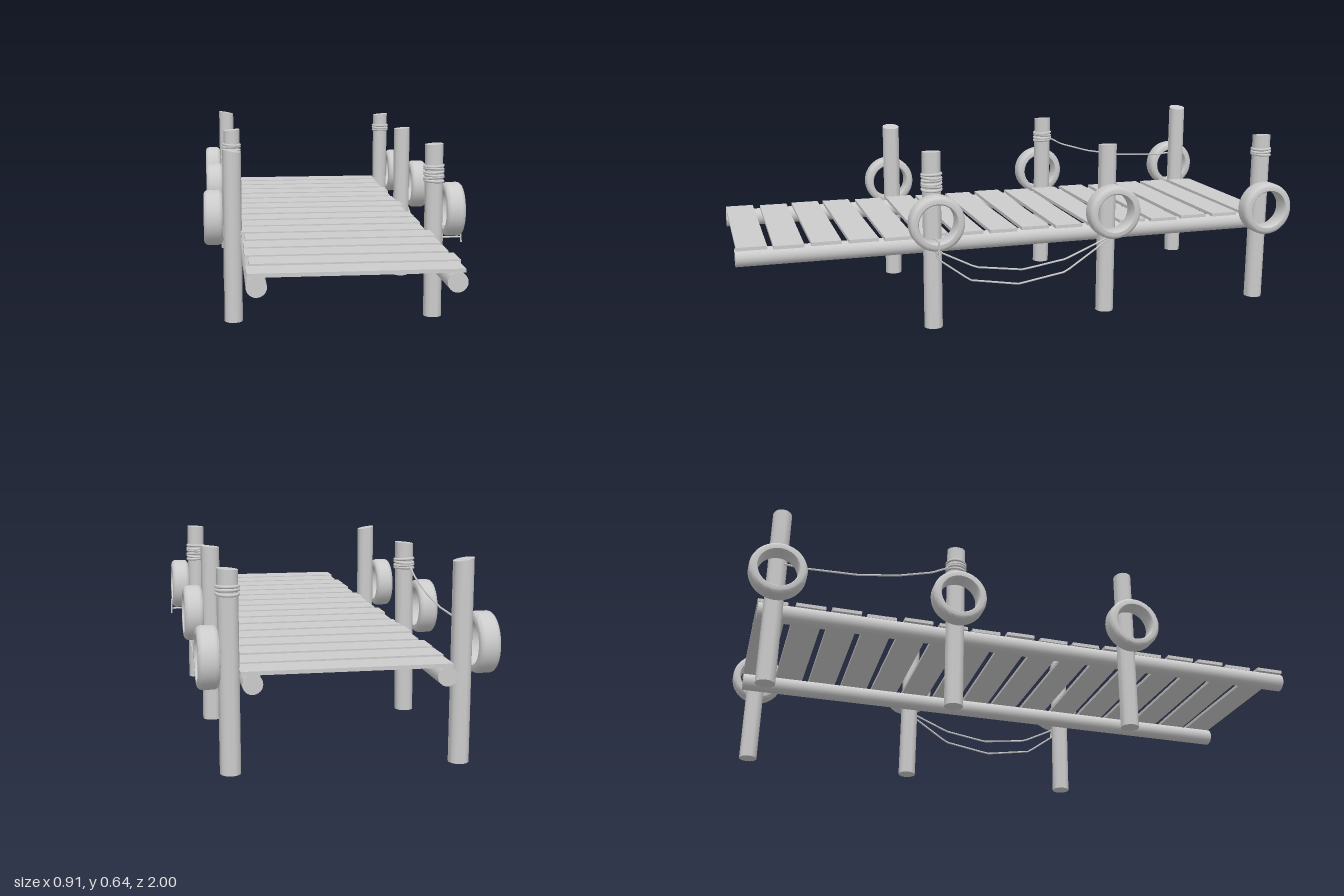
import * as THREE from 'three';
import { toCreasedNormals } from 'three/addons/utils/BufferGeometryUtils.js';

const material = new THREE.MeshStandardMaterial({ color: 0xcccccc });

function addMesh(parent, name, geometry, x = 0, y = 0, z = 0) {
  const mesh = new THREE.Mesh(geometry, material);
  mesh.name = name;
  mesh.position.set(x, y, z);
  parent.add(mesh);
  return mesh;
}

// Upright log whose top is cut at a slant and may lean a little in x
function postGeometry(height, slant, lean) {
  const r = 0.032;
  const g = new THREE.CylinderGeometry(r, r, height, 20, 6);
  g.translate(0, height / 2, 0);
  const p = g.attributes.position;
  for (let i = 0; i < p.count; i++) {
    const x = p.getX(i), y = p.getY(i);
    if (y > height - 0.001) p.setY(i, y + slant * x / r);
    p.setX(i, x + lean * y / height);
  }
  return toCreasedNormals(g, 0.7);
}

// Tyre: rounded closed profile turned around the x axis
function tyreGeometry() {
  const half = [[0.066, 0.027], [0.070, 0.0325], [0.082, 0.0325], [0.088, 0.030], [0.093, 0.025], [0.095, 0.018]];
  const lower = half.map(([r, y]) => new THREE.Vector2(r, -y));
  const upper = half.map(([r, y]) => new THREE.Vector2(r, y)).reverse();
  const g = new THREE.LatheGeometry([...lower, ...upper, lower[0].clone()], 40);
  g.rotateZ(Math.PI / 2);
  return toCreasedNormals(g, 0.7);
}

// Rope with straight stretches between its points
function ropeGeometry(points, radius = 0.0035) {
  const path = new THREE.CurvePath();
  const v = points.map((p) => new THREE.Vector3(...p));
  for (let i = 1; i < v.length; i++) path.add(new THREE.LineCurve3(v[i - 1], v[i]));
  return new THREE.TubeGeometry(path, (v.length - 1) * 6, radius, 6);
}

export function createModel() {
  const dock = new THREE.Group();
  dock.name = 'dock';

  // Two long beams under the deck
  for (const x of [-0.305, 0.285]) {
    const g = new THREE.CylinderGeometry(0.031, 0.031, 1.955, 24);
    g.rotateX(Math.PI / 2);
    addMesh(dock, 'beam', g, x, 0.282, 0.0225);
  }

  // Deck planks, each slightly shifted and turned
  const deck = new THREE.Group();
  deck.name = 'deck';
  dock.add(deck);
  for (let i = 0; i < 16; i++) {
    const plank = addMesh(deck, 'plank', new THREE.BoxGeometry(0.642, 0.012, 0.101),
      -0.006 + 0.007 * Math.sin(i * 2.3 + 1), 0.316, -0.907 + i * 0.1236);
    plank.rotation.y = 0.008 * Math.sin(i * 1.7);
  }

  // Mooring posts, their tyres, and rope coils: [bottom, count] where wound
  const moorings = [
    { x: -0.36, z: 0.345, h: 0.60, slant: -0.006, lean: 0.001, tx: -0.425, ty: 0.37 },
    { x: -0.357, z: -0.29, h: 0.61, slant: 0.003, lean: 0.01, tx: -0.418, ty: 0.38, coil: [0.52, 4] },
    { x: -0.36, z: -0.908, h: 0.63, slant: -0.006, lean: 0, tx: -0.423, ty: 0.375 },
    { x: 0.348, z: 0.345, h: 0.616, slant: 0.002, lean: -0.003, tx: 0.411, ty: 0.385, coil: [0.487, 6] },
    { x: 0.345, z: -0.295, h: 0.61, slant: 0.003, lean: 0, tx: 0.408, ty: 0.38 },
    { x: 0.347, z: -0.903, h: 0.617, slant: 0.003, lean: 0.004, tx: 0.412, ty: 0.355, coil: [0.545, 3] },
  ];
  const tyre = tyreGeometry();
  moorings.forEach((m, k) => {
    const mooring = new THREE.Group();
    mooring.name = 'mooring';
    dock.add(mooring);
    addMesh(mooring, 'post', postGeometry(m.h, m.slant, m.lean), m.x, 0, m.z);
    addMesh(mooring, 'tyre', tyre, m.tx, m.ty, m.z + [0, -0.005, 0, 0, 0, 0.008][k]);
    if (!m.coil) return;
    for (let i = 0; i < m.coil[1]; i++) {
      const y = m.coil[0] + i * 0.0105;
      const ring = addMesh(mooring, 'ropeCoil', new THREE.TorusGeometry(0.0325, 0.0052, 8, 24),
        m.x + m.lean * y / m.h, y, m.z);
      ring.rotation.set(Math.PI / 2 + 0.08 * Math.sin(i * 2 + k), 0.06 * Math.cos(i * 3 + k), 0);
    }
  });

  // Slack ropes between the posts
  addMesh(dock, 'rope', ropeGeometry([
    [-0.35, 0.54, -0.30], [-0.362, 0.525, -0.325], [-0.366, 0.495, -0.38], [-0.370, 0.46, -0.50],
    [-0.376, 0.435, -0.64], [-0.382, 0.425, -0.83], [-0.385, 0.43, -0.90]]));
  addMesh(dock, 'rope', ropeGeometry([
    [0.38, 0.30, 0.345], [0.38, 0.275, 0.33], [0.38, 0.21, 0.20], [0.379, 0.187, 0.03],
    [0.378, 0.212, -0.13], [0.376, 0.28, -0.295]]));
  addMesh(dock, 'rope', ropeGeometry([
    [0.38, 0.30, 0.345], [0.38, 0.25, 0.335], [0.38, 0.165, 0.22], [0.379, 0.136, 0.045],
    [0.378, 0.165, -0.13], [0.376, 0.27, -0.29]]));

  // Rope tied around the lower part of the front tyre
  addMesh(dock, 'tyreLashing', ropeGeometry([
    [0.376, 0.325, 0.345], [0.376, 0.284, 0.345], [0.446, 0.284, 0.345],
    [0.446, 0.325, 0.345], [0.376, 0.325, 0.345]]));
  addMesh(dock, 'ropeEnd', ropeGeometry([[0.446, 0.30, 0.345], [0.448, 0.265, 0.343]]));

  return dock;
}
